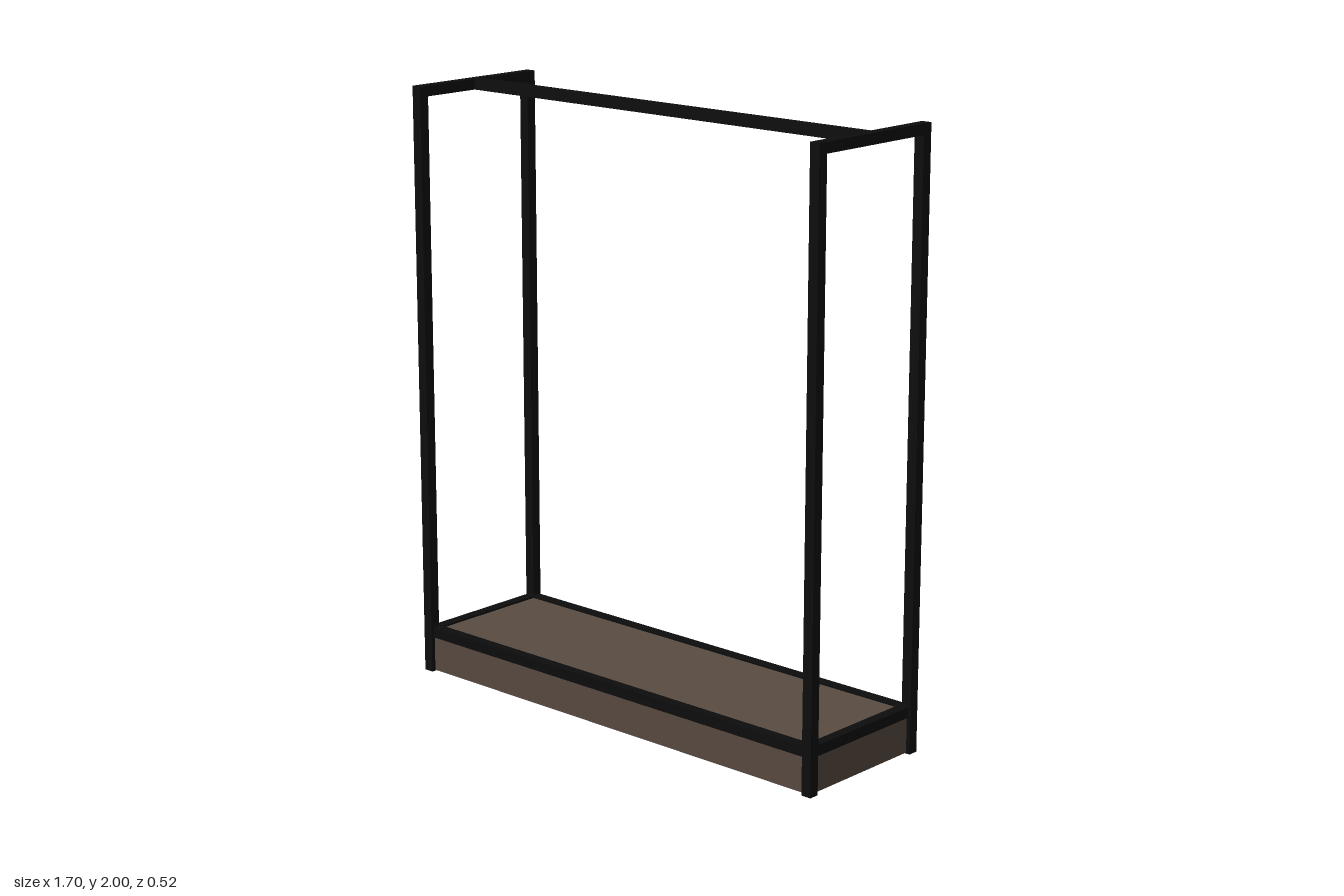
import * as THREE from 'three';

export function createModel() {
  const model = new THREE.Group();
  model.name = 'clothesRack';

  const metal = new THREE.MeshStandardMaterial({ color: 0x0d0d0d });
  metal.name = 'black metal';
  const wood = new THREE.MeshStandardMaterial({ color: 0x594b41 });
  wood.name = 'brown wood';

  const W = 0.852, D = 0.262, H = 2, T = 0.035; // half width, half depth, height, tube thickness
  const legX = W - T / 2, legZ = D - T / 2;
  const inset = 0.01; // base rails sit slightly behind the frame faces
  const railY = 0.138;

  function box(name, size, pos, material) {
    const mesh = new THREE.Mesh(new THREE.BoxGeometry(...size), material);
    mesh.name = name;
    mesh.position.set(...pos);
    model.add(mesh);
  }

  // Two end frames: a pair of legs joined by a top bar and a base rail
  for (const [side, s] of [['left', 1], ['right', -1]]) {
    for (const [end, e] of [['Front', 1], ['Back', -1]]) {
      box(`${side}${end}Leg`, [T, H, T], [s * legX, H / 2, e * legZ], metal);
    }
    box(`${side}TopBar`, [T, T, 2 * (D - T)], [s * legX, H - T / 2, 0], metal);
    box(`${side}BaseRail`, [T, T, 2 * (D - T)], [s * (legX - inset), railY, 0], metal);
  }

  // Long base rails
  for (const [end, e] of [['front', 1], ['back', -1]]) {
    box(`${end}BaseRail`, [2 * (W - T), T, T], [0, railY, e * (legZ - inset)], metal);
  }

  // Hanging rail between the end frames
  box('hangingRail', [2 * (W - T), T, T], [0, H - T / 2, 0], metal);

  // Wooden plinth inside the base frame
  const plinthTop = 0.149, plinthBottom = 0.003;
  box('woodenPlinth',
    [2 * (W - 0.014), plinthTop - plinthBottom, 2 * (D - 0.014)],
    [0, (plinthTop + plinthBottom) / 2, 0], wood);

  return model;
}
